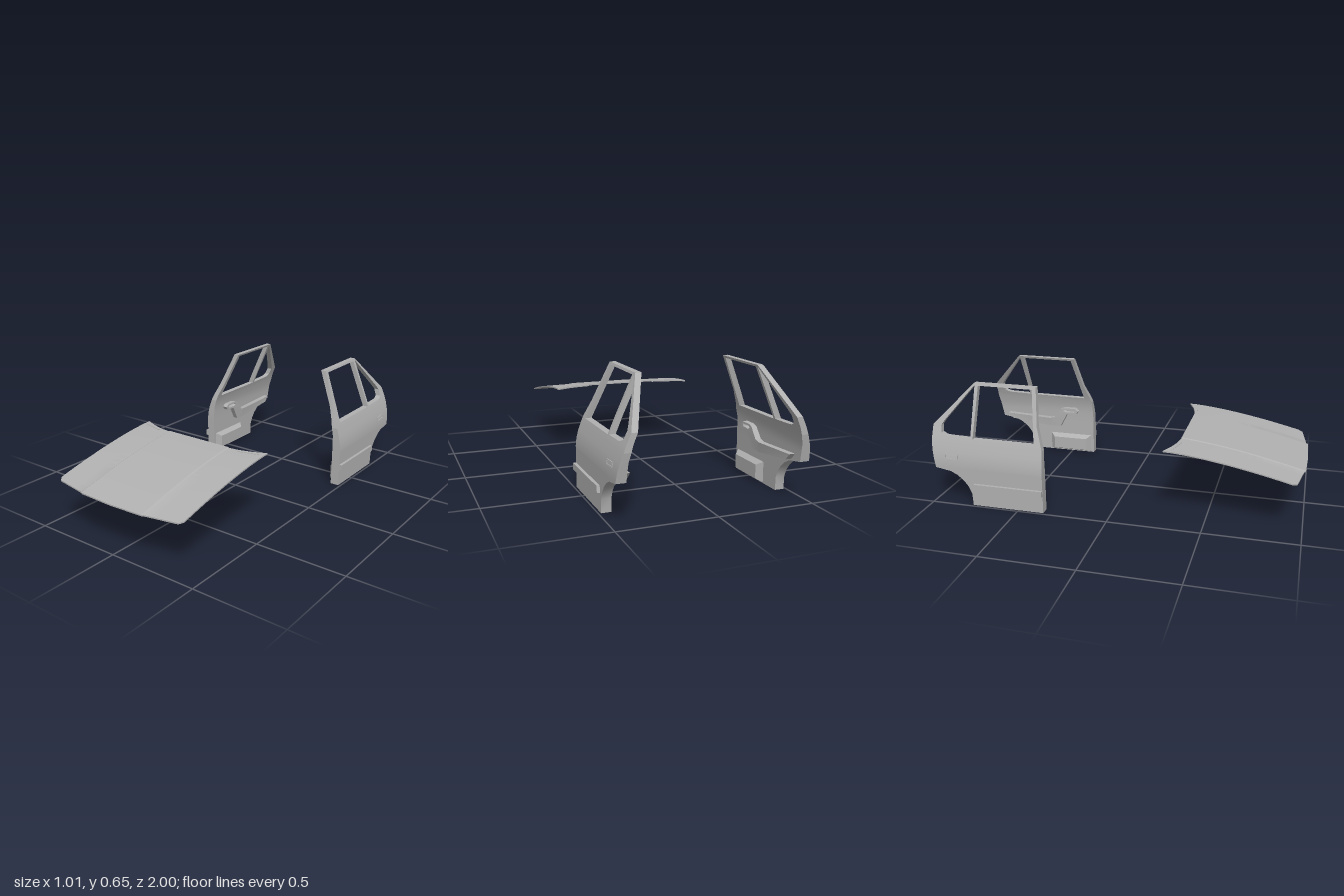
import * as THREE from 'three';
import { toCreasedNormals } from 'three/addons/utils/BufferGeometryUtils.js';

const paint = new THREE.MeshStandardMaterial({ color: 0xb0b0b0 });
paint.name = 'grey paint';

// piecewise-linear lookup in a list of [key, value]
function lookup(table, k) {
  for (let i = 1; i < table.length; i++) {
    const [a, va] = table[i - 1], [b, vb] = table[i];
    if (k <= b) return va + (vb - va) * Math.max(0, (k - a) / (b - a));
  }
  return table[table.length - 1][1];
}

// door skin: distance from the centre line at each height
const outerX = y => lookup([[0, .487], [.22, .487], [.26, .483], [.3, .474], [.378, .448], [.458, .413], [.652, .327]], y);
const innerX = y => lookup([[0, .437], [.24, .437], [.3, .434], [.39, .412], [.652, .297]], y);

// closed solid through rings with equal point counts
function loft(rings) {
  const n = rings[0].length, index = [], last = (rings.length - 1) * n;
  for (let r = 0; r < rings.length - 1; r++) {
    for (let i = 0; i < n; i++) {
      const a = r * n + i, b = r * n + (i + 1) % n;
      index.push(a, b, b + n, a, b + n, a + n);
    }
  }
  for (let i = 1; i < n - 1; i++) {
    index.push(0, i + 1, i, last, last + i, last + i + 1);
  }
  const g = new THREE.BufferGeometry();
  g.setAttribute('position', new THREE.Float32BufferAttribute(rings.flat(2), 3));
  g.setIndex(index);
  return g;
}

// outline in (distance back, height), given depth between two surfaces
function panel(points, holes, inside, outside) {
  const toVec = list => list.map(p => new THREE.Vector2(p[0], p[1]));
  const shape = new THREE.Shape(toVec(points));
  holes.forEach(h => shape.holes.push(new THREE.Path(toVec(h))));
  const g = new THREE.ExtrudeGeometry(shape, { depth: 1, bevelEnabled: false });
  const p = g.attributes.position;
  for (let i = 0; i < p.count; i++) {
    const u = p.getX(i), y = p.getY(i), t = p.getZ(i);
    p.setXYZ(i, t > .5 ? outside(y) : inside(y), y, -u);
  }
  return g;
}

// sharp edges kept; side -1 reflects the part
function finish(source, side = 1) {
  const g = source.index ? source.toNonIndexed() : source.clone();
  g.deleteAttribute('uv');
  if (g.attributes.normal) g.deleteAttribute('normal');
  if (side < 0) {
    const p = g.attributes.position;
    for (let i = 0; i < p.count; i += 3) {
      const a = [0, 1, 2].map(k => new THREE.Vector3().fromBufferAttribute(p, i + k));
      [a[0], a[2], a[1]].forEach((v, k) => p.setXYZ(i + k, -v.x, v.y, v.z));
    }
  }
  g.computeVertexNormals();
  return toCreasedNormals(g, .5);
}

function doorParts() {
  const parts = {};

  // lower panel with the wheel arch cut into its rear edge: [y, front z, rear z]
  const rows = [
    [0, -.356, -.764], [.07, -.356, -.768], [.11, -.356, -.786], [.14, -.356, -.81],
    [.17, -.356, -.845], [.19, -.356, -.885], [.205, -.356, -.973], [.22, -.356, -.976],
    [.26, -.357, -.984], [.3, -.359, -.992], [.345, -.362, -1],
  ];
  parts.lowerPanel = loft(rows.map(([y, f, r]) => [
    [outerX(y), y, f], [outerX(y), y, r], [innerX(y), y, r], [innerX(y), y, f],
  ]));

  // window frame with main and quarter openings
  parts.windowFrame = panel(
    [[.362, .345], [1, .345], [1, .378], [1, .432], [.975, .458], [.79, .652], [.432, .652],
      [.401, .458], [.376, .39], [.372, .378]],
    [
      [[.408, .37], [.423, .458], [.453, .64], [.764, .64], [.761, .458], [.76, .372]],
      [[.774, .374], [.777, .458], [.784, .64], [.79, .636], [.935, .458], [.953, .43], [.947, .392], [.925, .38], [.9, .377]],
    ], innerX, outerX);

  // outside trim
  parts.sideMoulding = panel([[.357, .096], [.755, .096], [.748, .13], [.357, .13]], [], () => .48, () => .503);
  const skin = d => y => outerX(y) + d;
  parts.handleSurround = panel([[.84, .258], [.917, .262], [.917, .287], [.84, .283]],
    [[[.846, .263], [.911, .267], [.911, .282], [.846, .278]]], skin(-.004), skin(.004));
  parts.doorHandle = panel([[.85, .27], [.907, .273], [.907, .282], [.85, .278]], [], skin(-.004), skin(.003));

  // inside trim: pocket, and armrest sweeping up into a pull handle
  const ring = (x, z1, z0, y0, y1) => [[x, y0, z1], [x, y1, z1], [x, y1, z0], [x, y0, z0]];
  parts.doorPocket = loft([ring(.442, -.37, -.65, .003, .118), ring(.408, -.4, -.615, .02, .095)]);
  parts.armrest = panel(
    [[.57, .172], [.64, .168], [.9, .202], [.93, .235], [.64, .222], [.61, .23], [.565, .288], [.54, .296], [.47, .296], [.45, .28],
      [.46, .262], [.525, .256]],
    [[[.475, .271], [.53, .267], [.548, .277], [.538, .285], [.475, .285]]],
    y => lookup([[.165, .412], [.18, .405], [.3, .405]], y), () => .44);
  return parts;
}

function bonnetY(z) {
  return .4 - .128 * Math.pow(Math.max(0, (z - .278) / .722), 1.5);
}

function makeBonnet() {
  const group = new THREE.Group();
  group.name = 'bonnet';
  const columns = [0, .1, .15, .2, .207, .27, .34, .39, .408];
  const frontZ = x => lookup([[0, 1], [.2, .994], [.207, .986], [.39, .958], [.408, .935]], x);
  const rearZ = x => lookup([[0, .337], [.2, .337], [.27, .328], [.34, .308], [.408, .278]], x);

  // curved sheet with a slightly raised middle section
  const g = new THREE.BoxGeometry(2, 1, 1, 16, 1, 16);
  const p = g.attributes.position;
  for (let i = 0; i < p.count; i++) {
    const c = Math.round(p.getX(i) * 8), ax = columns[Math.abs(c)];
    const z = THREE.MathUtils.lerp(rearZ(ax), frontZ(ax), p.getZ(i) + .5);
    const crown = ax <= .2 ? 0 : -.003 - .004 * (ax / .408) ** 2;
    const thick = p.getY(i) < 0 ? .007 : 0;
    p.setXYZ(i, Math.sign(c) * ax, bonnetY(z) + crown - thick, z);
  }
  const sheet = new THREE.Mesh(finish(g), paint);
  sheet.name = 'bonnetSheet';
  group.add(sheet);

  // narrow washer slots near the rear corners
  for (const side of [1, -1]) {
    const slot = new THREE.Mesh(new THREE.BoxGeometry(.12, .004, .006), paint);
    slot.name = 'ventSlot';
    slot.position.set(side * .325, bonnetY(.333) - .006, .333);
    slot.rotation.y = side * .25;
    group.add(slot);
  }
  return group;
}

export function createModel() {
  const model = new THREE.Group();
  model.name = 'carBodyPanels';
  const parts = doorParts();
  for (const side of [1, -1]) {
    const door = new THREE.Group();
    door.name = side > 0 ? 'leftDoor' : 'rightDoor';
    for (const [name, g] of Object.entries(parts)) {
      const mesh = new THREE.Mesh(finish(g, side), paint);
      mesh.name = name;
      door.add(mesh);
    }
    model.add(door);
  }
  model.add(makeBonnet());
  return model;
}
